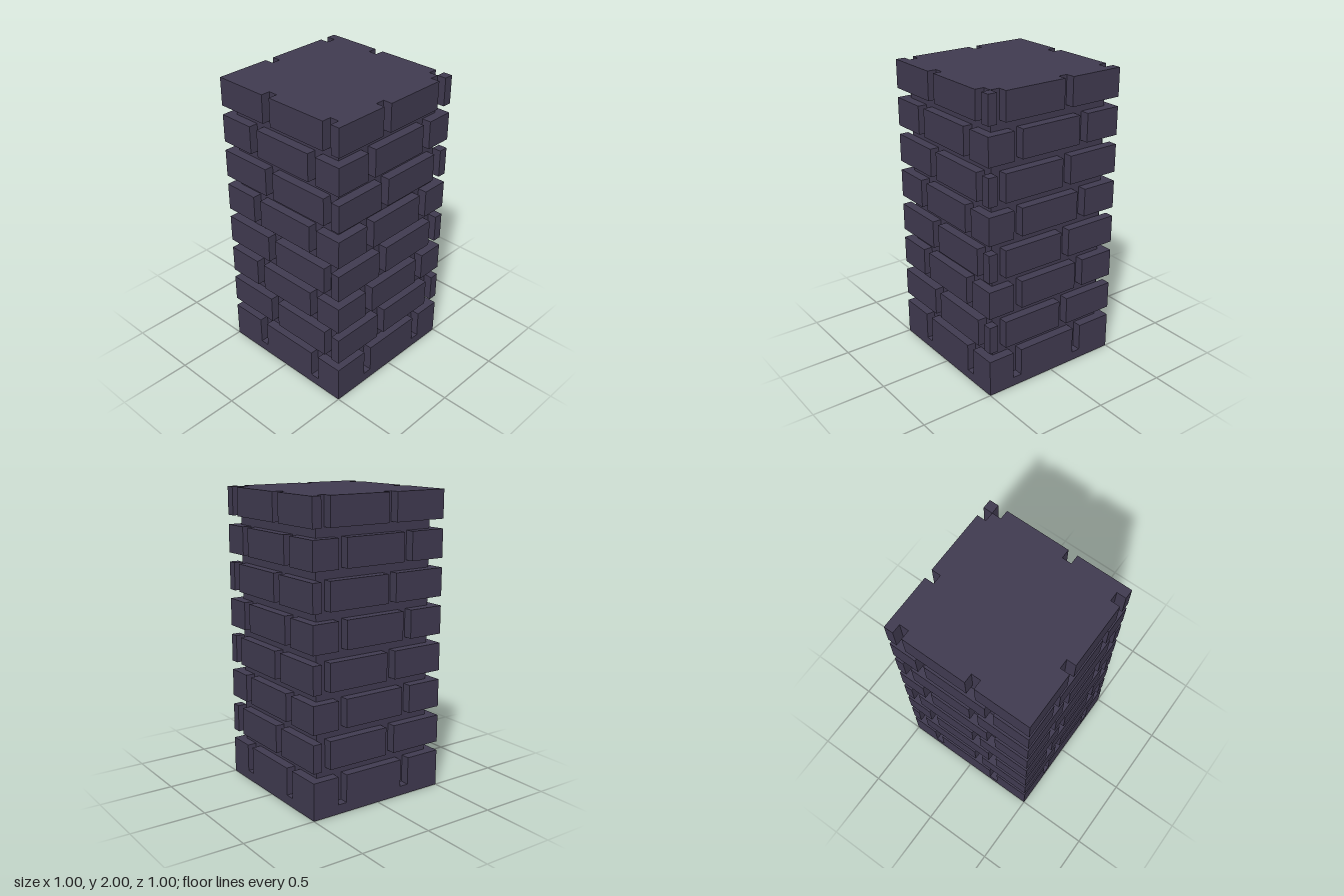
import * as THREE from 'three';

const HALF = 0.5;       // half width of the pillar
const JOINT = 0.0625;   // width and depth of the mortar joints
const CORE = HALF - JOINT;
const COURSE = 0.25;    // one brick row plus its joint
const BRICK_H = COURSE - JOINT;

// Notch corners along one side, walked from start to end; place maps (along, outward) to [x, z]
function notches(gaps, reverse, place) {
  const ordered = reverse ? [...gaps].reverse() : gaps;
  return ordered.flatMap((g) => {
    const [a, b] = reverse ? [g + JOINT, g] : [g, g + JOINT];
    return [place(a, HALF), place(a, CORE), place(b, CORE), place(b, HALF)];
  });
}

// Plan of a brick row; splitCorner leaves the front left corner to a separate post
function courseGeometry(gaps, splitCorner) {
  let front = notches(gaps, false, (t, o) => [t, o]);
  let left = notches(gaps, true, (t, o) => [o, t]);
  const back = notches(gaps, true, (t, o) => [t, -o]);
  const right = notches(gaps, false, (t, o) => [-o, t]);
  let corner = [[HALF, HALF]];
  if (splitCorner) {
    front = front.slice(0, -1);
    left = left.slice(2);
    corner = [];
  }
  const outline = [
    [-HALF, HALF], ...front, ...corner, ...left,
    [HALF, -HALF], ...back, [-HALF, -HALF], ...right,
  ];
  const shape = new THREE.Shape(outline.map(([x, z]) => new THREE.Vector2(x, -z)));
  const geometry = new THREE.ExtrudeGeometry(shape, { depth: BRICK_H, bevelEnabled: false });
  return geometry.rotateX(-Math.PI / 2);
}

export function createModel() {
  const pillar = new THREE.Group();
  pillar.name = 'brickPillar';
  const stone = new THREE.MeshStandardMaterial({ color: 0x403a50 });
  stone.name = 'darkStone';

  function add(name, geometry, x, y, z) {
    const mesh = new THREE.Mesh(geometry, stone);
    mesh.name = name;
    mesh.position.set(x, y, z);
    pillar.add(mesh);
  }

  // Solid foot
  add('base', new THREE.BoxGeometry(1, JOINT, 1), 0, JOINT / 2, 0);

  const evenCourse = courseGeometry([-0.25, 0.25], false);
  const oddCourse = courseGeometry([-0.125, 0.375], true);
  const mortar = new THREE.BoxGeometry(CORE * 2, JOINT, CORE * 2);
  const post = new THREE.BoxGeometry(JOINT, BRICK_H, JOINT);
  const postAt = HALF - JOINT / 2;

  // Staggered brick rows with recessed mortar between them
  for (let i = 0; i < 8; i++) {
    const y = i * COURSE;
    const odd = i % 2 === 1;
    if (i > 0) add('mortarJoint', mortar, 0, y + JOINT / 2, 0);
    add('brickCourse', odd ? oddCourse : evenCourse, 0, y + JOINT, 0);
    if (odd) add('cornerPost', post, postAt, y + JOINT + BRICK_H / 2, postAt);
  }
  return pillar;
}
